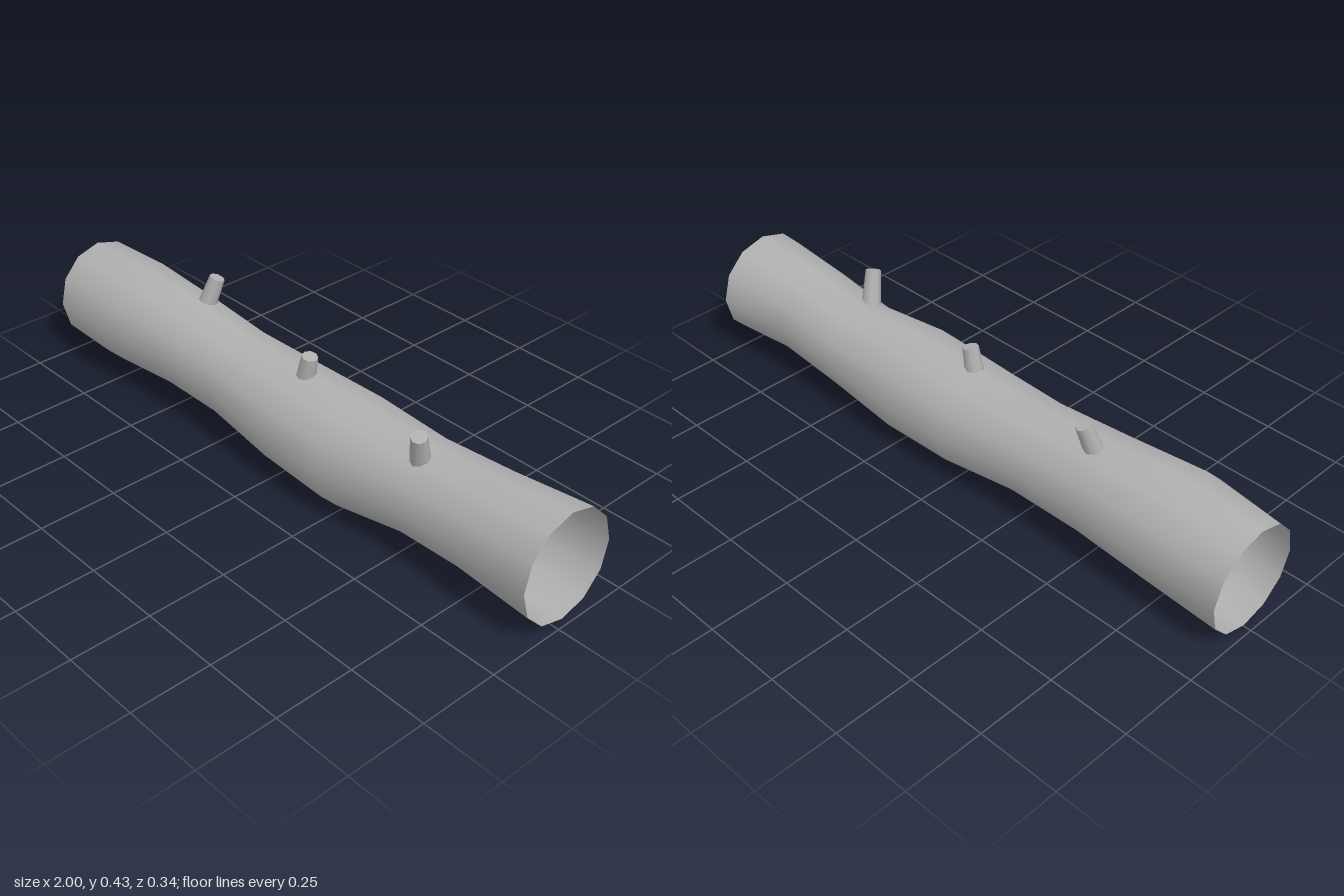
import * as THREE from 'three';

const SIDES = 12;

// Cross-sections along the log: x, bottom y, top y, back z, front z
const SECTIONS = [
  [-0.993, 0.02, 0.353, -0.174, 0.145],
  [-0.75, 0.035, 0.37, -0.174, 0.167],
  [-0.5, 0.05, 0.355, -0.16, 0.142],
  [-0.25, 0.045, 0.334, -0.152, 0.135],
  [0, 0.013, 0.331, -0.172, 0.156],
  [0.25, 0, 0.34, -0.172, 0.165],
  [0.5, 0.036, 0.323, -0.16, 0.132],
  [0.75, 0.048, 0.35, -0.153, 0.142],
  [0.997, 0.031, 0.37, -0.176, 0.157],
];

// Open, smooth-shaded hollow shell lofted through the sections
function shellGeometry() {
  const positions = [];
  const index = [];
  SECTIONS.forEach(([x, y0, y1, z0, z1], i) => {
    const tilt = i === 0 ? -0.045 : i === SECTIONS.length - 1 ? -0.015 : 0;
    for (let j = 0; j < SIDES; j++) {
      const a = (j / SIDES) * Math.PI * 2;
      const dy = Math.cos(a) * (y1 - y0) / 2;
      const dz = Math.sin(a) * (z1 - z0) / 2;
      positions.push(x + tilt * dy, (y0 + y1) / 2 + dy, (z0 + z1) / 2 + dz);
      if (i < SECTIONS.length - 1) {
        const k = (j + 1) % SIDES;
        const p = i * SIDES;
        const q = p + SIDES;
        index.push(p + j, p + k, q + j, q + j, p + k, q + k);
      }
    }
  });
  const geometry = new THREE.BufferGeometry();
  geometry.setAttribute('position', new THREE.Float32BufferAttribute(positions, 3));
  geometry.setIndex(index);
  geometry.computeVertexNormals();
  return geometry;
}

// Tapered twig running from inside the log out through its wall
function twig(base, tip, material) {
  const from = new THREE.Vector3(...base);
  const to = new THREE.Vector3(...tip);
  const axis = to.clone().sub(from);
  const mesh = new THREE.Mesh(
    new THREE.CylinderGeometry(0.024, 0.037, axis.length(), 8), material);
  mesh.position.copy(from).add(to).multiplyScalar(0.5);
  mesh.quaternion.setFromUnitVectors(new THREE.Vector3(0, 1, 0), axis.normalize());
  return mesh;
}

export function createModel() {
  const group = new THREE.Group();
  group.name = 'hollowLog';

  const grey = new THREE.MeshStandardMaterial({ color: 0xb0b0b0, side: THREE.DoubleSide });
  grey.name = 'grey';

  const shell = new THREE.Mesh(shellGeometry(), grey);
  shell.name = 'logShell';
  group.add(shell);

  // Three branch stubs leaning back, upright and forward
  const twigs = [
    [[-0.5, 0.19, 0], [-0.452, 0.422, -0.073]],
    [[0, 0.175, 0], [0.047, 0.395, 0]],
    [[0.5, 0.175, 0], [0.545, 0.404, 0.071]],
  ];
  twigs.forEach(([base, tip], i) => {
    const stub = twig(base, tip, grey);
    stub.name = 'branchStub' + (i + 1);
    group.add(stub);
  });

  return group;
}
